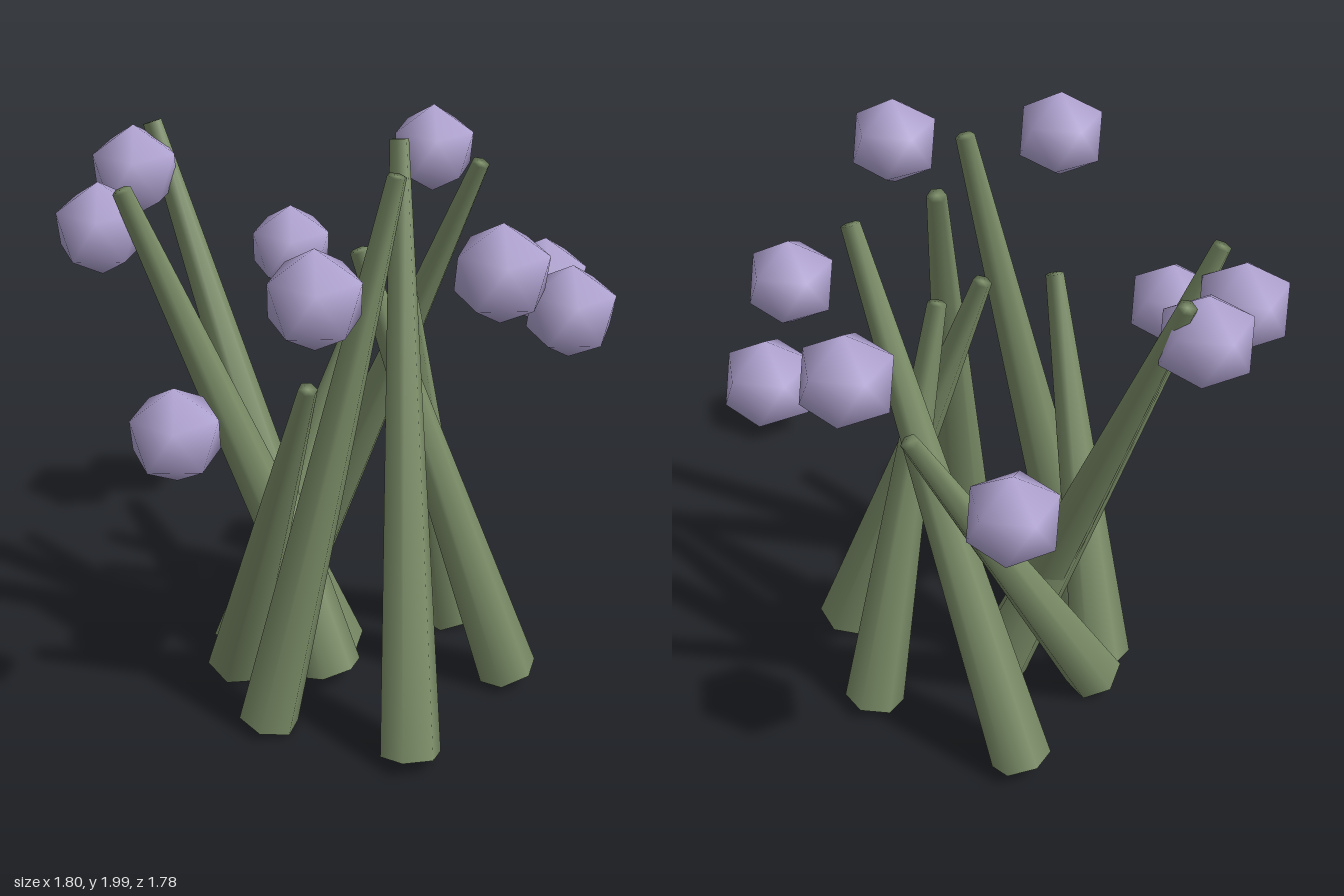
import * as THREE from 'three';
import { mergeVertices } from 'three/addons/utils/BufferGeometryUtils.js';

// Share corners so the low-poly shapes shade smoothly
function smooth(geometry) {
  geometry.deleteAttribute('uv');
  geometry.deleteAttribute('normal');
  const merged = mergeVertices(geometry, 1e-4);
  merged.computeVertexNormals();
  return merged;
}

export function createModel() {
  const model = new THREE.Group();
  model.name = 'flowerCluster';
  const green = new THREE.MeshStandardMaterial({ color: 0x7d8f69 });
  green.name = 'sage green';
  const lilac = new THREE.MeshStandardMaterial({ color: 0xb4a7d6 });
  lilac.name = 'lilac';

  // Tapered leaning stems: base x, z, then tip x, y, z
  const stems = [
    [-0.31, -0.46, 0.41, 1.88, -0.225],
    [-0.36, 0.03, 0.01, 1.42, -0.60],
    [0.0, 0.09, -0.72, 1.91, -0.23],
    [-0.03, -0.07, -0.65, 1.84, 0.235],
    [-0.34, 0.14, 0.05, 1.37, 0.52],
    [-0.13, 0.42, 0.255, 1.99, 0.255],
    [0.39, 0.49, 0.17, 1.98, -0.10],
    [0.6, -0.08, 0.07, 1.63, 0.01],
    [0.30, -0.41, 0.20, 1.55, -0.06],
  ];
  const baseRadius = 0.105, tipRadius = 0.032;
  const up = new THREE.Vector3(0, 1, 0);
  for (const [bx, bz, tx, ty, tz] of stems) {
    const tip = new THREE.Vector3(tx, ty, tz);
    const lean = Math.hypot(tx - bx, tz - bz);
    // Raise the base so its tilted rim just meets the ground
    const base = new THREE.Vector3(bx, 0.01 + baseRadius * lean / Math.hypot(lean, ty), bz);
    const axis = tip.clone().sub(base);
    const stem = new THREE.Mesh(
      smooth(new THREE.CylinderGeometry(tipRadius, baseRadius, axis.length(), 6)), green);
    stem.name = 'stem';
    stem.position.copy(base).add(tip).multiplyScalar(0.5);
    stem.quaternion.setFromUnitVectors(up, axis.normalize());
    model.add(stem);
  }

  // Round blossoms: icosahedra standing on a corner
  const golden = (1 + Math.sqrt(5)) / 2;
  const blossomGeometry = smooth(new THREE.IcosahedronGeometry(0.16, 0))
    .rotateX(-Math.atan(golden)).rotateY(Math.PI / 2);
  const blossoms = [
    [-0.378, 1.32, -0.675], [0.126, 1.72, -0.757], [0.59, 1.38, -0.48],
    [0.755, 1.47, -0.06], [0.623, 1.79, 0.435], [0.143, 1.78, 0.75],
    [-0.32, 1.25, 0.70], [-0.754, 1.68, 0.18], [-0.76, 1.76, -0.157],
  ];
  for (const position of blossoms) {
    const blossom = new THREE.Mesh(blossomGeometry, lilac);
    blossom.name = 'blossom';
    blossom.position.set(...position);
    model.add(blossom);
  }
  return model;
}
